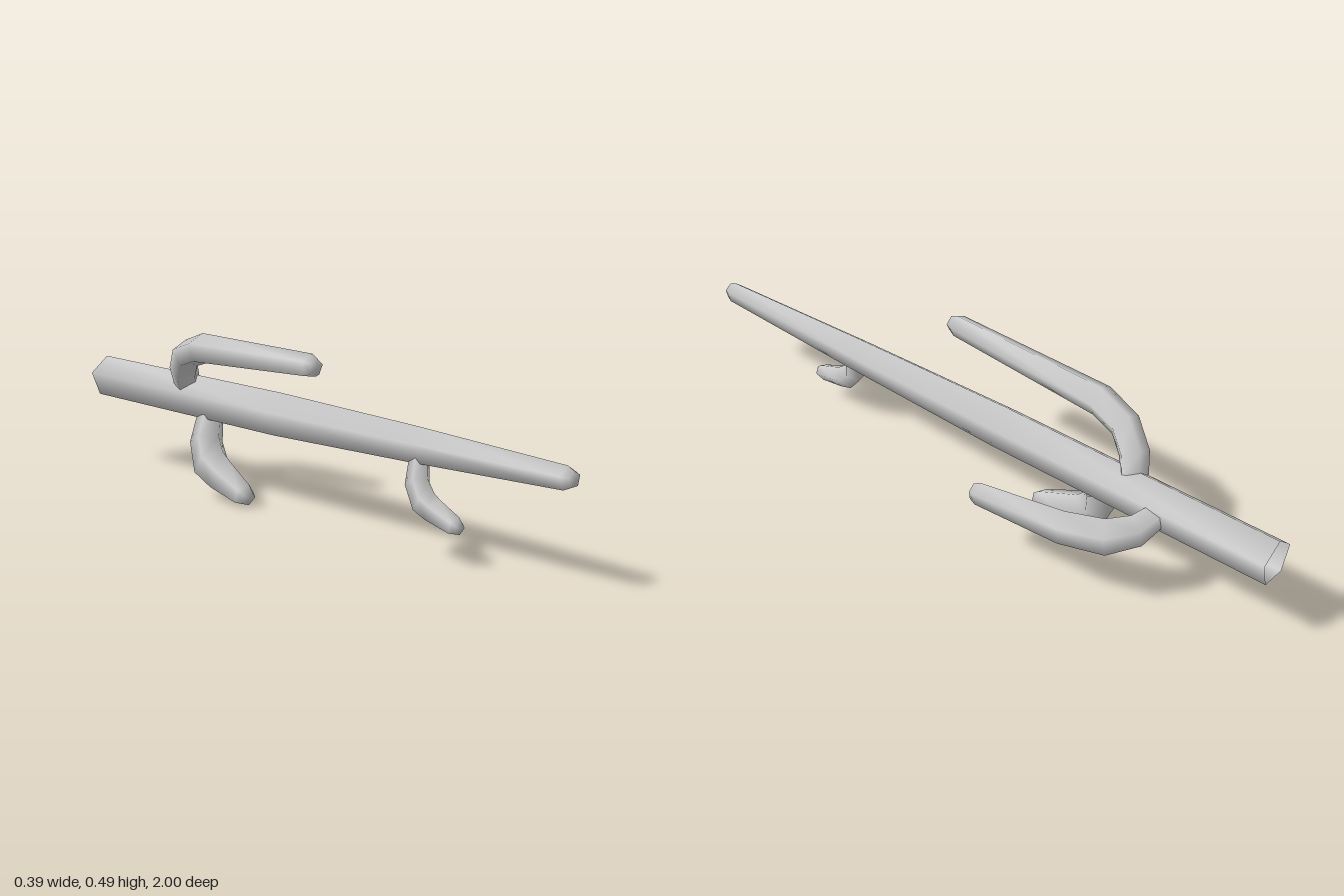
import * as THREE from 'three';

const SIDES = 5;
const material = new THREE.MeshStandardMaterial({ color: 0xcccccc, side: THREE.DoubleSide });

// Five-sided smooth limb: stations are [x, y, z, radius]; open at the root, domed at the tip.
// Rings share the side vector `across`; `turn` rotates the pentagon.
function limb(name, stations, across, turn) {
  const centres = stations.map(([x, y, z]) => new THREE.Vector3(x, y, z));
  const radii = stations.map((s) => s[3]);
  const last = centres.length - 1;
  const end = centres[last].clone();
  const endDir = end.clone().sub(centres[last - 1]).normalize();
  const endR = radii[last];

  // Rounded tip: one smaller ring, then a single apex
  centres.push(end.clone().addScaledVector(endDir, endR * 0.6));
  radii.push(endR * 0.7);
  const apex = end.clone().addScaledVector(endDir, endR * 0.8);

  const positions = [];
  const index = [];
  centres.forEach((c, i) => {
    const before = centres[Math.max(i - 1, 0)];
    const after = centres[Math.min(i + 1, centres.length - 1)];
    const tangent = after.clone().sub(before).normalize();
    const n = across.clone().addScaledVector(tangent, -across.dot(tangent)).normalize();
    const b = tangent.clone().cross(n);
    for (let j = 0; j < SIDES; j++) {
      const a = turn + (j / SIDES) * Math.PI * 2;
      const p = c.clone()
        .addScaledVector(n, Math.cos(a) * radii[i])
        .addScaledVector(b, Math.sin(a) * radii[i]);
      positions.push(p.x, p.y, p.z);
    }
  });
  const apexId = centres.length * SIDES;
  positions.push(apex.x, apex.y, apex.z);

  for (let i = 0; i < centres.length; i++) {
    for (let j = 0; j < SIDES; j++) {
      const k = (j + 1) % SIDES;
      const a0 = i * SIDES + j;
      const a1 = i * SIDES + k;
      if (i === centres.length - 1) index.push(a0, a1, apexId);
      else index.push(a0, a1, a1 + SIDES, a0, a1 + SIDES, a0 + SIDES);
    }
  }

  const geometry = new THREE.BufferGeometry();
  geometry.setAttribute('position', new THREE.Float32BufferAttribute(positions, 3));
  geometry.setIndex(index);
  geometry.computeVertexNormals();
  const mesh = new THREE.Mesh(geometry, material);
  mesh.name = name;
  return mesh;
}

// Arm: bends in one plane, with a pentagon corner on the inside of the bend
function arm(name, stations) {
  const v = stations.map(([x, y, z]) => new THREE.Vector3(x, y, z));
  const first = v[1].clone().sub(v[0]);
  const final = v[v.length - 1].clone().sub(v[v.length - 2]);
  return limb(name, stations, first.cross(final).normalize(), -Math.PI / 2);
}

export function createModel() {
  const group = new THREE.Group();
  group.name = 'branchingStem';

  // Long tapering trunk lying along z, hollow at the back
  group.add(limb('trunk', [
    [-0.063, 0.288, -1, 0.066],
    [-0.063, 0.288, -0.1, 0.065],
    [-0.063, 0.29, 0.45, 0.051],
    [-0.063, 0.291, 0.974, 0.032],
  ], new THREE.Vector3(1, 0, 0), THREE.MathUtils.degToRad(94)));

  // Long upper arm
  group.add(arm('upperArm', [
    [-0.08, 0.325, -0.54, 0.042],
    [-0.105, 0.372, -0.52, 0.045],
    [-0.133, 0.428, -0.465, 0.046],
    [-0.15, 0.456, -0.37, 0.047],
    [-0.164, 0.47, 0.145, 0.034],
  ]));

  // Side arm on the model's left
  group.add(arm('sideArm', [
    [-0.02, 0.275, -0.65, 0.038],
    [0.045, 0.265, -0.637, 0.046],
    [0.1, 0.252, -0.585, 0.052],
    [0.133, 0.243, -0.47, 0.048],
    [0.162, 0.236, -0.205, 0.033],
  ]));

  // Lower arm near the back
  group.add(arm('lowerArm', [
    [-0.068, 0.235, -0.44, 0.042],
    [-0.088, 0.165, -0.433, 0.052],
    [-0.107, 0.103, -0.385, 0.057],
    [-0.113, 0.076, -0.32, 0.05],
    [-0.117, 0.04, -0.215, 0.035],
  ]));

  // Small lower arm near the tip
  group.add(arm('smallLowerArm', [
    [-0.07, 0.255, 0.473, 0.029],
    [-0.085, 0.197, 0.482, 0.035],
    [-0.098, 0.152, 0.525, 0.038],
    [-0.1, 0.137, 0.56, 0.034],
    [-0.104, 0.113, 0.64, 0.026],
  ]));

  return group;
}
